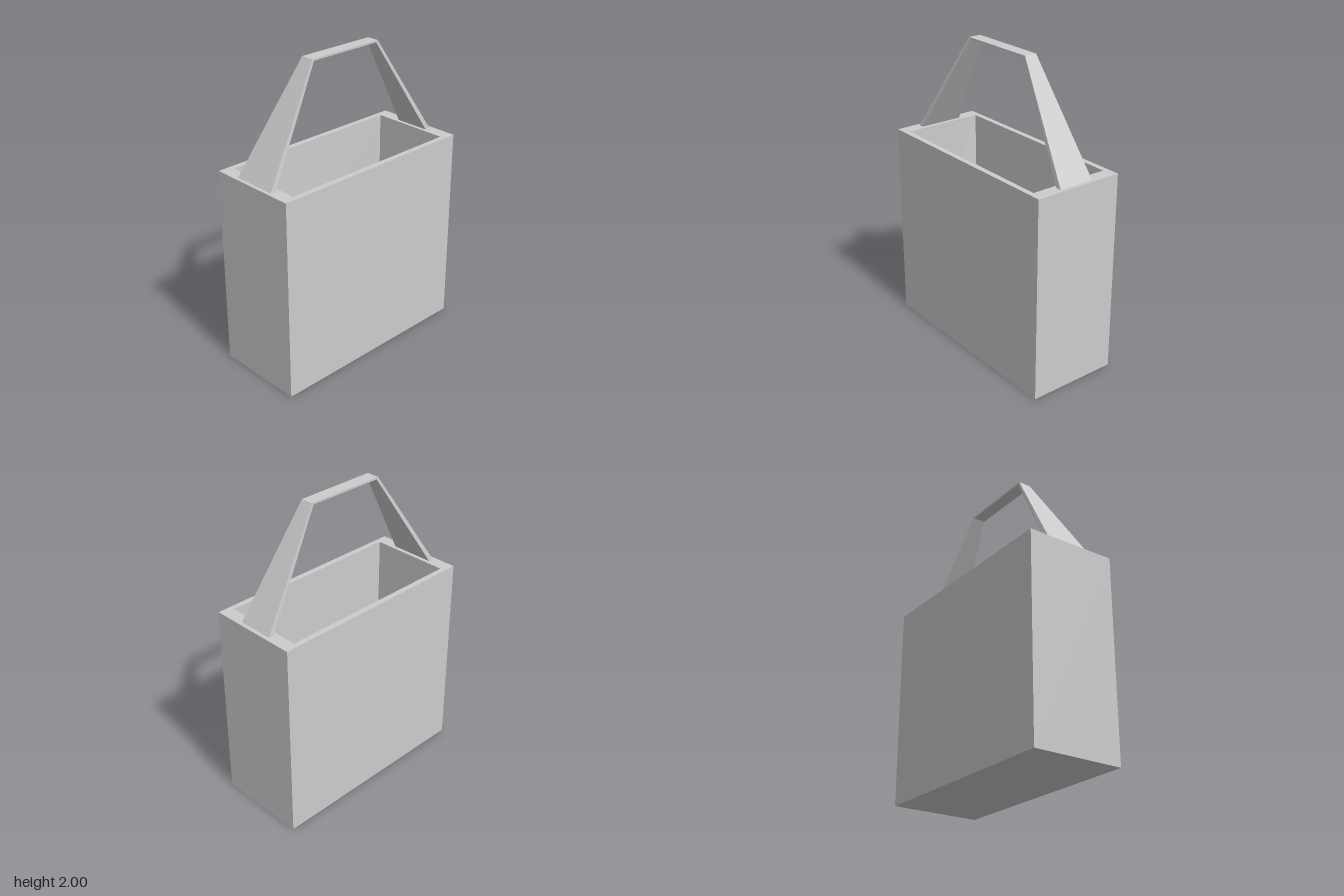
import * as THREE from 'three';

// Skins a row of four-cornered sections and closes both ends, with flat faces
function loft(sections) {
  const pos = [];
  const quad = (a, b, c, d) => pos.push(...a, ...b, ...c, ...a, ...c, ...d);
  for (let i = 0; i < sections.length - 1; i++) {
    const s = sections[i], t = sections[i + 1];
    for (let j = 0; j < 4; j++) {
      const k = (j + 1) % 4;
      quad(s[j], s[k], t[k], t[j]);
    }
  }
  const [a, b, c, d] = sections[0];
  quad(a, d, c, b);
  quad(...sections[sections.length - 1]);
  const geo = new THREE.BufferGeometry();
  geo.setAttribute('position', new THREE.Float32BufferAttribute(pos, 3));
  geo.computeVertexNormals();
  return geo;
}

// Horizontal rectangle, counterclockwise from above
const rect = (x, y, z) => [[x, y, z], [x, y, -z], [-x, y, -z], [-x, y, z]];

// Section across the handle strap: outer edge, then inner edge
const strap = (w, yOut, zOut, yIn, zIn) => [
  [-w, yOut, zOut], [w, yOut, zOut], [w, yIn, zIn], [-w, yIn, zIn],
];

export function createModel() {
  const group = new THREE.Group();
  const grey = new THREE.MeshStandardMaterial({ color: 0xcccccc });
  grey.name = 'light grey';

  const add = (name, geometry) => {
    const mesh = new THREE.Mesh(geometry, grey);
    mesh.name = name;
    group.add(mesh);
  };

  // Open box: outer walls, rim, inner walls and a slightly skewed floor
  const floorY = 0.09;
  const floor = rect(0.267, floorY, 0.633);
  floor[3] = [-0.24, floorY, 0.587];
  add('bagBody', loft([
    rect(0.304, 0, 0.72),
    rect(0.304, 1.33, 0.72),
    rect(0.267, 1.33, 0.633),
    floor,
  ]));

  // Handle: tapered front leg, narrow grip, tapered back leg
  add('handle', loft([
    strap(0.148, 1.33, 0.697, 1.33, 0.66),
    strap(0.043, 2, 0.27, 1.988, 0.257),
    strap(0.041, 2, -0.27, 1.988, -0.257),
    strap(0.12, 1.33, -0.694, 1.33, -0.657),
  ]));

  return group;
}
